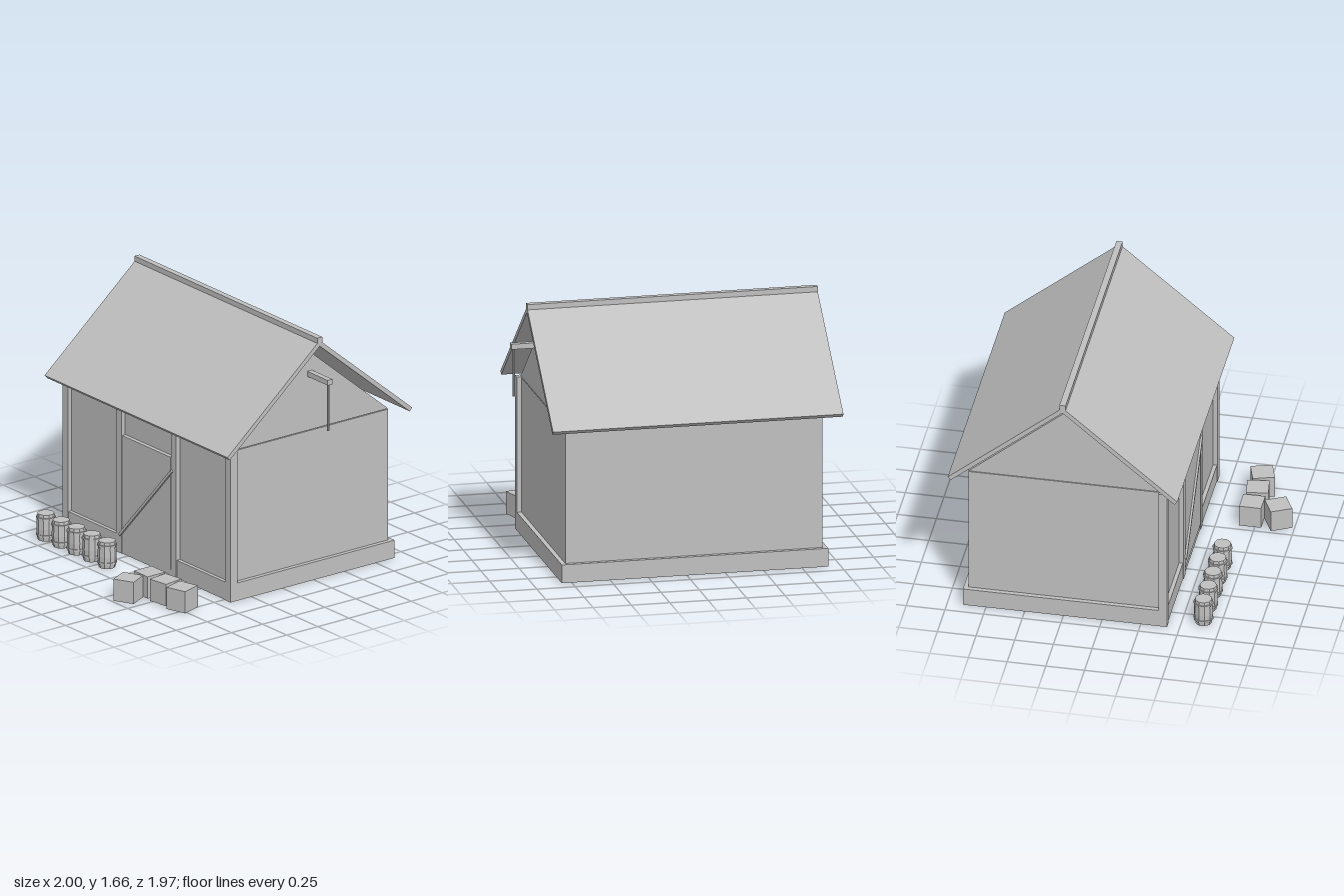
import * as THREE from 'three';

export function createModel() {
  const model = new THREE.Group();
  model.name = 'storehouse';
  const grey = new THREE.MeshStandardMaterial({ color: 0xc0c0c0, flatShading: true });
  grey.name = 'plain grey';

  const add = (name, geometry, parent = model) => {
    const mesh = new THREE.Mesh(geometry, grey);
    mesh.name = name;
    parent.add(mesh);
    return mesh;
  };
  // Box given by its lower and upper limits on each axis
  const box = (name, x0, x1, y0, y1, z0, z1) => {
    const mesh = add(name, new THREE.BoxGeometry(x1 - x0, y1 - y0, z1 - z0));
    mesh.position.set((x0 + x1) / 2, (y0 + y1) / 2, (z0 + z1) / 2);
    return mesh;
  };
  // Outline of [z, y] points, extruded along x
  const prism = (name, points, x0, x1) => {
    const shape = new THREE.Shape(points.map(([z, y]) => new THREE.Vector2(-z, y)));
    const g = new THREE.ExtrudeGeometry(shape, { depth: x1 - x0, bevelEnabled: false });
    g.rotateY(Math.PI / 2).translate(x0, 0, 0);
    return add(name, g);
  };

  // Base and walls
  const ridgeZ = -0.24;
  box('foundation', -0.92, 0.815, 0, 0.12, -0.9, 0.415);
  box('walls', -0.89, 0.785, 0.12, 1.005, -0.87, 0.39);
  prism('gable', [[0.39, 1.01], [-0.87, 1.01], [ridgeZ, 1.54]], -0.89, 0.785);

  // Front posts
  for (const x of [-0.92, -0.367, 0.2, 0.76]) {
    box('frontPost', x, x + 0.055, 0, 1.01, 0.365, 0.42);
  }

  // Door with diagonal brace
  box('door', -0.307, 0.195, 0.04, 0.8, 0.38, 0.418);
  const brace = add('doorBrace', new THREE.BoxGeometry(0.8, 0.018, 0.015));
  brace.position.set(-0.055, 0.42, 0.424);
  brace.rotation.z = Math.atan2(0.59, 0.54);

  // Roof slabs and ridge cap
  for (const s of [1, -1]) {
    const points = [[0, 1.645], [0.742, 1.022], [0.723, 1], [0, 1.607]];
    prism('roofSlab', points.map(([z, y]) => [ridgeZ + s * z, y]), -1, 0.89);
  }
  box('ridgeCap', -1, 0.89, 1.63, 1.665, -0.26, -0.22);

  // Hoist under the gable
  box('hoistBeam', 0.75, 0.995, 1.375, 1.41, -0.259, -0.222);
  const rope = add('hoistRope', new THREE.CylinderGeometry(0.008, 0.008, 0.315, 8));
  rope.position.set(0.975, 1.2175, ridgeZ);

  // Row of barrels
  const profile = [
    [0, 0], [0.053, 0], [0.058, 0.03], [0.061, 0.08], [0.058, 0.145], [0.054, 0.178], [0, 0.178],
  ].map(([r, y]) => new THREE.Vector2(r, y));
  for (let i = 0; i < 5; i++) {
    const barrel = new THREE.Group();
    barrel.name = 'barrel';
    barrel.position.set(-0.815 + i * 0.158, 0, 0.635);
    add('barrelBody', new THREE.LatheGeometry(profile, 10), barrel);
    for (const y of [0.035, 0.15]) {
      add('barrelHoop', new THREE.CylinderGeometry(0.064, 0.064, 0.014, 10), barrel).position.y = y;
    }
    model.add(barrel);
  }

  // Crates
  for (const [x, z, degrees] of [[0.365, 0.72, 0], [0.535, 0.723, 8], [0.705, 0.721, 17], [0.364, 0.89, 27]]) {
    const crate = box('crate', x - 0.071, x + 0.071, 0, 0.147, z - 0.071, z + 0.071);
    crate.rotation.y = THREE.MathUtils.degToRad(degrees);
  }

  return model;
}
